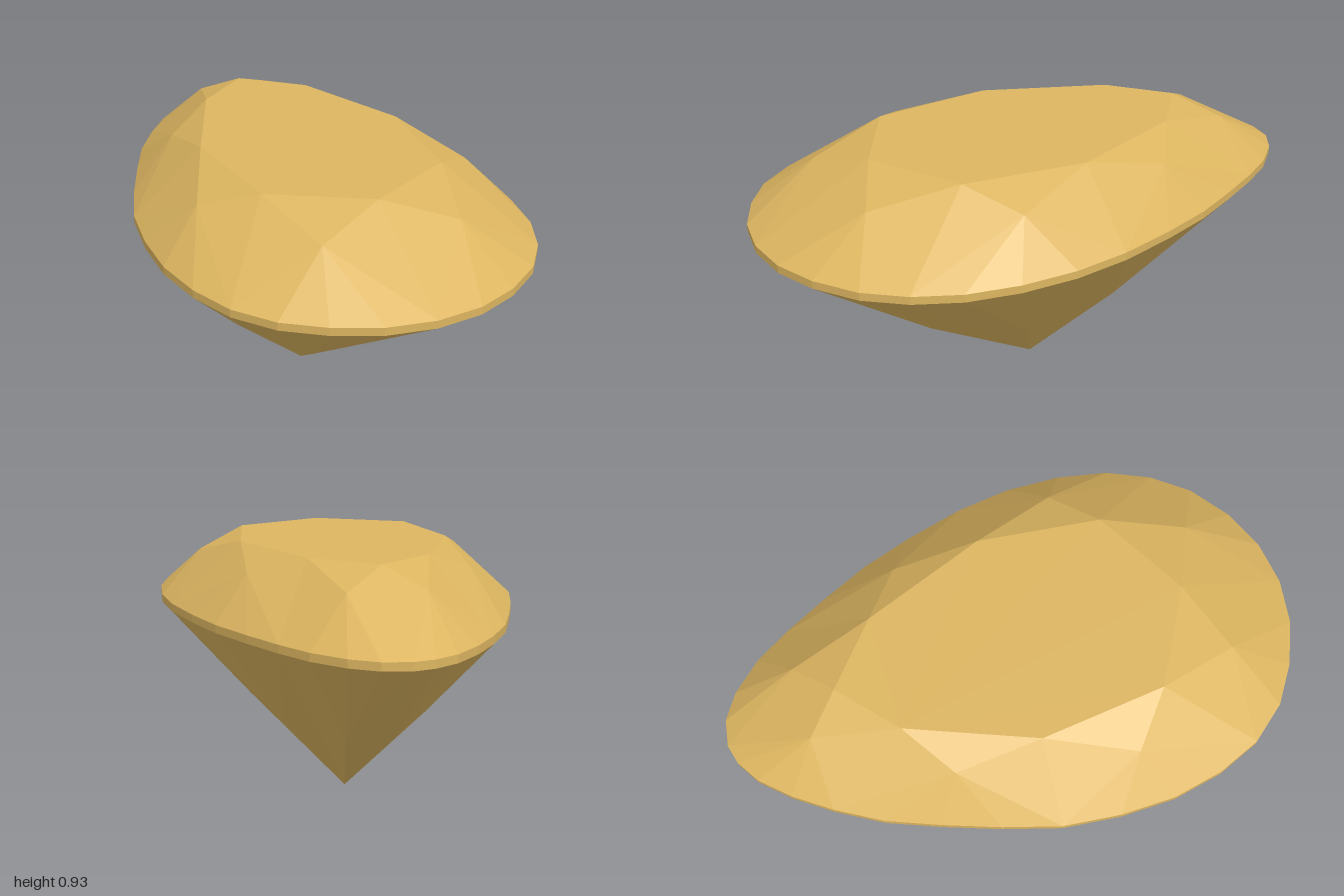
import * as THREE from 'three';

// Pear-shaped girdle outline as [x, z], clockwise seen from above, starting at the rear tip
const OUTLINE = [
  [0.14, -1.0], [0.23, -0.975], [0.31, -0.91], [0.39, -0.8], [0.45, -0.67], [0.51, -0.51], [0.57, -0.33], [0.61, -0.14],
  [0.64, 0.07], [0.643, 0.265], [0.615, 0.455], [0.56, 0.625], [0.475, 0.765], [0.365, 0.875], [0.22, 0.955], [0.07, 0.997],
  [-0.09, 0.997], [-0.245, 0.955], [-0.385, 0.875], [-0.5, 0.775], [-0.585, 0.64], [-0.63, 0.48], [-0.645, 0.3], [-0.625, 0.11],
  [-0.58, -0.085], [-0.5, -0.27], [-0.41, -0.45], [-0.32, -0.615], [-0.215, -0.755], [-0.115, -0.865], [-0.015, -0.95], [0.07, -0.99],
];
const N = OUTLINE.length;
const CENTRE_X = 0.03;

// Point i of the outline, shrunk about the gem's axis and set at height y
function ring(i, scale, y) {
  const [x, z] = OUTLINE[(i + N) % N];
  return [CENTRE_X + (x - CENTRE_X) * scale, y, z * scale];
}
const table = (i) => ring(i, 0.6, 0.925);
const star = (i) => ring(i, 0.77, 0.86);
const girdleTop = (i) => ring(i, 1, 0.71);
const girdleLow = (i) => ring(i, 1, 0.683);
const lower = (i) => ring(i, 0.51, 0.322);
const tip = [CENTRE_X, 0, 0];

// Flat facets: each convex polygon becomes a fan of unshared triangles
function facets(name, polygons, material) {
  const points = [];
  for (const p of polygons)
    for (let i = 1; i < p.length - 1; i++) points.push(...p[0], ...p[i], ...p[i + 1]);
  const geometry = new THREE.BufferGeometry();
  geometry.setAttribute('position', new THREE.Float32BufferAttribute(points, 3));
  geometry.computeVertexNormals();
  const mesh = new THREE.Mesh(geometry, material);
  mesh.name = name;
  return mesh;
}

export function createModel() {
  const gold = new THREE.MeshStandardMaterial({ color: 0xdcb560 });
  gold.name = 'honey gold';

  const tableFace = [[]], stars = [], kites = [], upperGirdle = [], girdle = [], mains = [], lowerGirdle = [];

  // Eight-fold brilliant cut: four outline segments per sector
  for (let i = 0; i < N; i += 4) {
    tableFace[0].unshift(table(i));
    stars.push([table(i), table(i + 4), star(i + 2)]);
    kites.push([table(i), star(i + 2), girdleTop(i), star(i - 2)]);
    mains.push([tip, lower(i - 2), girdleLow(i), lower(i + 2)]);
    for (let j = i; j < i + 4; j++) {
      upperGirdle.push([star(i + 2), girdleTop(j + 1), girdleTop(j)]);
      girdle.push([girdleLow(j + 1), girdleLow(j), girdleTop(j), girdleTop(j + 1)]);
      lowerGirdle.push([lower(i + 2), girdleLow(j), girdleLow(j + 1)]);
    }
  }

  const gem = new THREE.Group();
  gem.name = 'pearCutGem';
  gem.add(
    facets('table', tableFace, gold),
    facets('starFacets', stars, gold),
    facets('kiteFacets', kites, gold),
    facets('upperGirdleFacets', upperGirdle, gold),
    facets('girdle', girdle, gold),
    facets('pavilionMainFacets', mains, gold),
    facets('lowerGirdleFacets', lowerGirdle, gold),
  );
  return gem;
}
